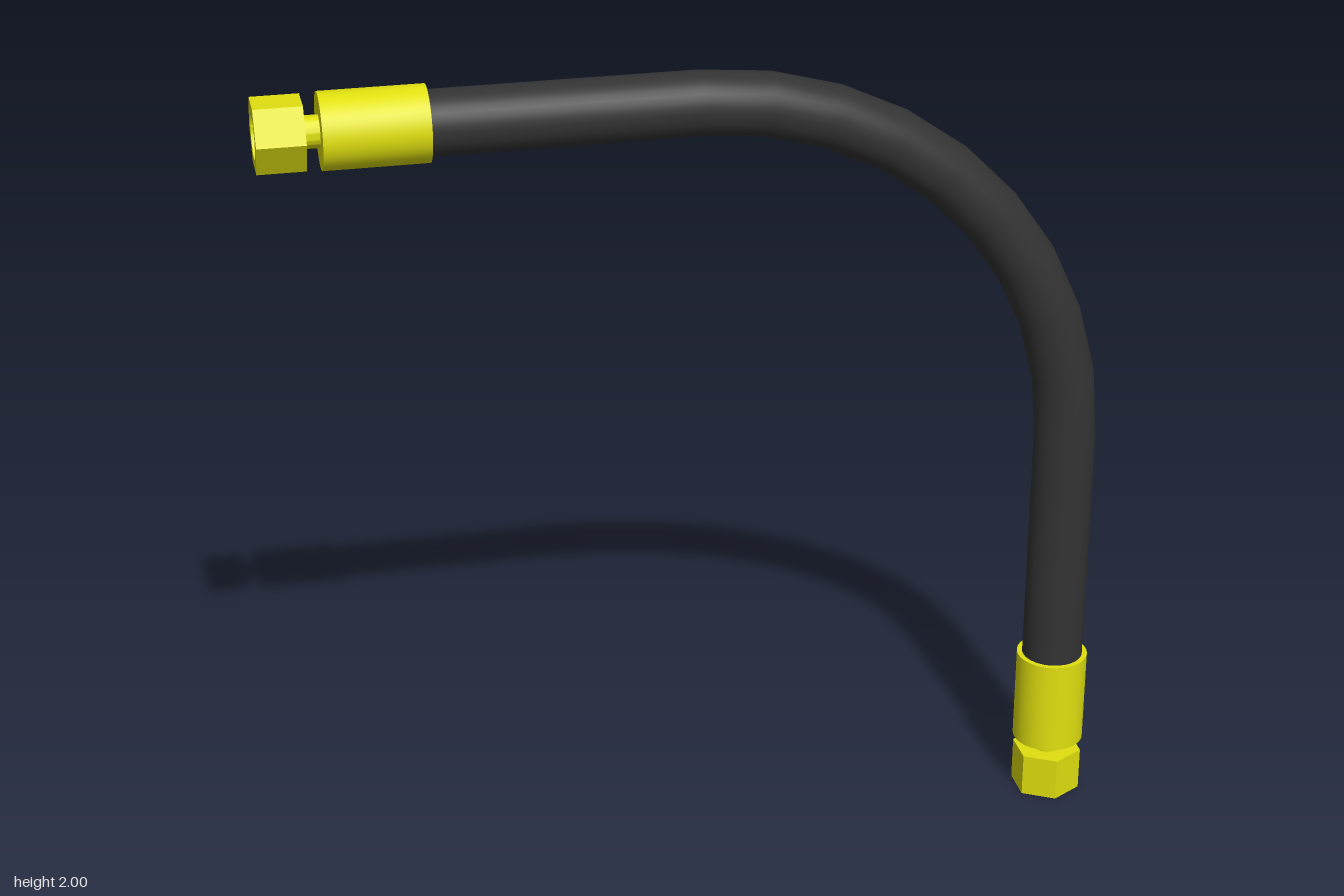
import * as THREE from 'three';
import { toCreasedNormals } from 'three/addons/utils/BufferGeometryUtils.js';

const brass = new THREE.MeshStandardMaterial({ color: 0xe0e010 });
const rubber = new THREE.MeshStandardMaterial({ color: 0x333333 });

const BEND = 0.912;      // centreline bend radius, bend centre at (0, 1)
const HOSE_R = 0.075;
const BEND_STEPS = 9;

function addMesh(parent, name, geometry, material) {
  const mesh = new THREE.Mesh(geometry, material);
  mesh.name = name;
  parent.add(mesh);
  return mesh;
}

// Sharp-edged solid of revolution about y
function turned(profile) {
  const points = profile.map(([r, y]) => new THREE.Vector2(r, y));
  return toCreasedNormals(new THREE.LatheGeometry(points, 40), 0.6);
}

// Straight tube bent by rule: one straight row, the quarter bend, one straight row
function hoseGeometry() {
  const rows = BEND_STEPS + 2;
  const geometry = new THREE.CylinderGeometry(HOSE_R, HOSE_R, 1, 32, rows, true);
  const pos = geometry.attributes.position;
  const nor = geometry.attributes.normal;
  for (let i = 0; i < pos.count; i++) {
    const row = Math.round((0.5 - pos.getY(i)) * rows);
    const step = THREE.MathUtils.clamp(row - 1, 0, BEND_STEPS);
    const a = (step / BEND_STEPS) * Math.PI / 2;
    const s = Math.sin(a), c = Math.cos(a);
    const r = BEND + pos.getX(i);
    const dx = row === 0 ? -0.72 : 0;
    const dy = row === rows ? -0.72 : 0;
    pos.setXYZ(i, r * s + dx, 1 + r * c + dy, pos.getZ(i));
    const n = nor.getX(i);
    nor.setXYZ(i, n * s, n * c, nor.getZ(i));
  }
  return geometry;
}

// Hexagonal swivel nut with a round bore, corners facing front and back
function nutGeometry() {
  const shape = new THREE.Shape();
  for (let i = 0; i < 6; i++) {
    const a = Math.PI / 2 + i * Math.PI / 3;
    const x = 0.087 * Math.cos(a), y = 0.087 * Math.sin(a);
    if (i === 0) shape.moveTo(x, y);
    else shape.lineTo(x, y);
  }
  shape.closePath();
  const bore = new THREE.Path();
  bore.absarc(0, 0, 0.052, 0, Math.PI * 2, true);
  shape.holes.push(bore);
  const geometry = new THREE.ExtrudeGeometry(shape, {
    depth: 0.11, bevelEnabled: false, curveSegments: 32,
  });
  geometry.rotateX(-Math.PI / 2);
  return toCreasedNormals(geometry, 0.6);
}

// End fitting, open end at y = 0, hose entering from above
function createFitting(name) {
  const fitting = new THREE.Group();
  fitting.name = name;
  addMesh(fitting, 'hexNut', nutGeometry(), brass);
  // Hollow stem with a flange seated inside the nut
  addMesh(fitting, 'stem', turned([
    [0, 0.14], [0.024, 0.14], [0.024, 0.02], [0.036, 0.02], [0.036, 0.05],
    [0.052, 0.05], [0.052, 0.11], [0.037, 0.11], [0.037, 0.16],
  ]), brass);
  // Crimped sleeve around the hose end
  addMesh(fitting, 'ferrule', turned([
    [0.03, 0.145], [0.088, 0.145], [0.088, 0.385],
    [HOSE_R, 0.385], [HOSE_R, 0.29],
  ]), brass);
  return fitting;
}

export function createModel() {
  const model = new THREE.Group();
  model.name = 'hoseAssembly';
  addMesh(model, 'hose', hoseGeometry(), rubber);

  const lower = createFitting('lowerFitting');
  lower.position.set(BEND, 0, 0);
  model.add(lower);

  const upper = createFitting('upperFitting');
  upper.rotation.z = -Math.PI / 2;
  upper.position.set(-1, 1 + BEND, 0);
  model.add(upper);
  return model;
}
